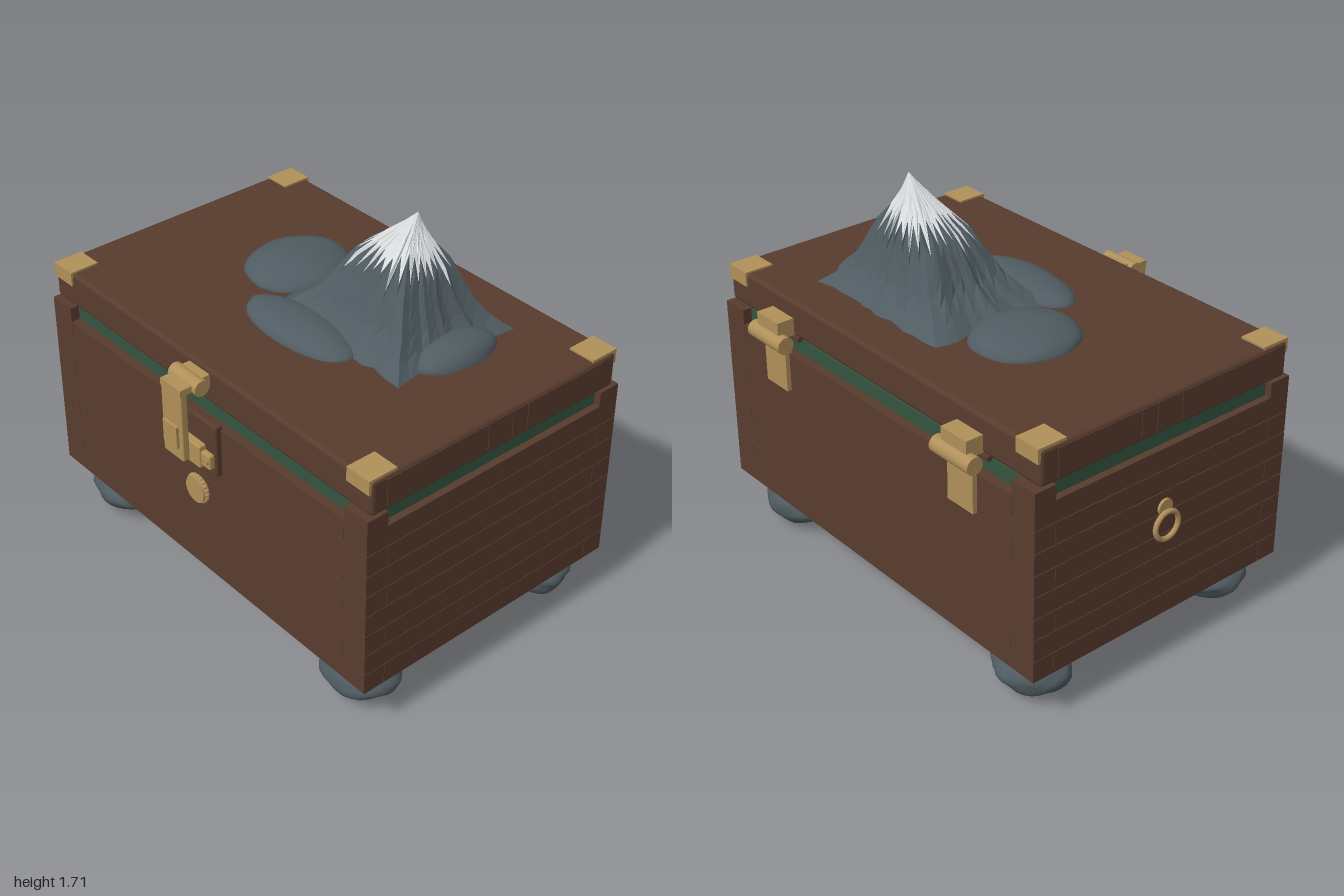
import * as THREE from 'three';
import { mergeVertices } from 'three/addons/utils/BufferGeometryUtils.js';
import { RoundedBoxGeometry } from 'three/addons/geometries/RoundedBoxGeometry.js';

const mat = (name, color, extra = {}) => Object.assign(new THREE.MeshStandardMaterial({ color, ...extra }), { name });

export function createModel() {
  const model = new THREE.Group();
  model.name = 'chest';
  const wood = mat('brown wood', 0x583c2e);
  const brass = mat('brass', 0xb0905a);
  const green = mat('green lining', 0x34543f);
  const stone = mat('grey stone', 0x505c62);
  const cliff = mat('grey cliff', 0x505c62, { flatShading: true });
  const snow = mat('snow', 0xd9dcde, { flatShading: true });

  const group = (name) => {
    const g = new THREE.Group();
    g.name = name;
    model.add(g);
    return g;
  };
  const add = (parent, name, geo, material, x = 0, y = 0, z = 0) => {
    const m = new THREE.Mesh(geo, material);
    m.name = name;
    m.position.set(x, y, z);
    parent.add(m);
    return m;
  };
  // Box given by its limits, optionally rounded
  const box = (parent, name, material, x0, x1, y0, y1, z0, z1, r = 0) => {
    const s = [x1 - x0, y1 - y0, z1 - z0];
    const geo = r ? new RoundedBoxGeometry(...s, 2, r) : new THREE.BoxGeometry(...s);
    return add(parent, name, geo, material, (x0 + x1) / 2, (y0 + y1) / 2, (z0 + z1) / 2);
  };

  // Body: eight rows of boards with alternating finger joints
  const X0 = -0.97, X1 = 0.995, Z0 = -0.68, Z1 = 0.632, TX = 0.125, TZ = 0.1;
  const body = group('body');
  box(body, 'core', wood, X0 + 0.006, X1 - 0.006, 0.225, 0.985, Z0 + 0.006, Z1 - 0.006);
  box(body, 'plinth', wood, -0.88, 0.91, 0.188, 0.23, -0.58, 0.535, 0.01);
  box(body, 'lining', green, X0 + 0.03, X1 - 0.03, 0.98, 1.048, Z0 + 0.04, Z1 - 0.04);
  const rowH = 0.096;
  for (let i = 0; i < 8; i++) {
    const y0 = 0.22 + i * rowH, y1 = y0 + rowH - 0.003;
    const long = i % 2 === 0;
    const ex = long ? 0 : TX + 0.002, ez = long ? TZ + 0.002 : 0;
    for (const [a, b] of [[Z0, Z0 + TZ], [Z1 - TZ, Z1]]) box(body, 'longBoard', wood, X0 + ex, X1 - ex, y0, y1, a, b);
    for (const [a, b] of [[X0, X0 + TX], [X1 - TX, X1]]) box(body, 'endBoard', wood, a, b, y0, y1, Z0 + ez, Z1 - ez);
  }
  for (const x of [X0, X1 - TX]) for (const z of [Z0, Z1 - TZ])
    box(body, 'cornerBlock', wood, x, x + TX, 0.985, 1.05, z, z + TZ);

  // Lid with end cleats and brass corners
  const lid = group('lid');
  const LX0 = -0.967, LX1 = 0.992, LZ0 = -0.65, LZ1 = 0.61;
  box(lid, 'lidPanel', wood, LX0, LX1, 1.055, 1.21, LZ0, LZ1, 0.018);
  const cleats = [-0.575, -0.168, -0.088, 0.038, 0.538];
  for (let i = 0; i < 4; i++) for (const x of [LX0, LX1])
    box(lid, 'lidCleat', wood, x - 0.003, x + 0.003, 1.075, 1.195, cleats[i] + 0.003, cleats[i + 1]);
  for (const x of [-0.96, 0.865]) for (const s of [-1, 1]) {
    const edge = s > 0 ? LZ1 : LZ0, inner = edge - s * 0.125, outer = edge + s * 0.007;
    box(lid, 'cornerTop', brass, x, x + 0.12, 1.2, 1.218, Math.min(inner, outer), Math.max(inner, outer));
    box(lid, 'cornerFlap', brass, x, x + 0.12, 1.155, 1.215, edge - 0.008, edge + 0.008);
  }

  // Front latch
  const cyl = (r, len, n = 20) => new THREE.CylinderGeometry(r, r, len, n);
  const latch = group('latch');
  box(latch, 'latchBacking', wood, -0.135, 0.16, 0.765, 1.005, 0.62, 0.658, 0.01);
  box(latch, 'keeperBar', brass, -0.122, 0.147, 0.805, 0.872, 0.65, 0.682, 0.008);
  box(latch, 'keeper', brass, -0.07, 0.095, 0.79, 0.895, 0.65, 0.69, 0.008);
  for (const x of [-0.1, 0.125]) add(latch, 'screw', cyl(0.016, 0.01, 12), brass, x, 0.84, 0.684).rotation.x = Math.PI / 2;
  box(latch, 'latchMount', brass, -0.05, 0.075, 1.13, 1.19, 0.6, 0.66);
  add(latch, 'latchPin', cyl(0.035, 0.17), brass, 0.012, 1.16, 0.664).rotation.z = Math.PI / 2;
  box(latch, 'latchLink', brass, -0.05, 0.075, 1.145, 1.175, 0.664, 0.752);
  box(latch, 'latchArm', brass, -0.05, 0.075, 0.84, 1.17, 0.718, 0.752, 0.008);
  box(latch, 'latchButton', brass, -0.03, 0.055, 0.9, 1.0, 0.745, 0.765);

  // Scalloped medallion
  const medal = group('medallion');
  medal.position.set(0.012, 0.625, 0);
  add(medal, 'medallionDisc', cyl(0.058, 0.035, 28), brass, 0, 0, 0.643).rotation.x = Math.PI / 2;
  for (let i = 0; i < 20; i++) {
    const a = i / 20 * Math.PI * 2;
    add(medal, 'medallionBead', new THREE.SphereGeometry(0.011, 8, 6), brass, 0.057 * Math.cos(a), 0.057 * Math.sin(a), 0.643);
  }

  // Ring pull on one end
  const pull = group('ringPull');
  add(pull, 'pullPlate', cyl(0.036, 0.014), brass, -0.974, 0.725, -0.03).rotation.z = Math.PI / 2;
  add(pull, 'pullRing', new THREE.TorusGeometry(0.06, 0.011, 8, 28), brass, -0.989, 0.65, -0.03).rotation.y = Math.PI / 2;

  // Rear hinges
  for (const x of [-0.58, 0.61]) {
    const hinge = group('hinge');
    add(hinge, 'hingeKnuckle', cyl(0.037, 0.22), brass, x, 1.045, -0.718).rotation.z = Math.PI / 2;
    box(hinge, 'hingeUpperLeaf', brass, x - 0.073, x + 0.073, 1.06, 1.135, -0.728, -0.64);
    box(hinge, 'hingeLowerLeaf', brass, x - 0.073, x + 0.073, 0.815, 1.03, -0.7, -0.67);
    box(hinge, 'hingeSpacer', wood, x - 0.11, x + 0.11, 1.04, 1.06, -0.66, -0.6);
  }

  // Lumpy stones from a displaced ball
  const rock = (name, x, y, z, rx, ry, rz, lump, seed) => {
    let geo = new THREE.IcosahedronGeometry(1, 5);
    geo.deleteAttribute('uv');
    geo.deleteAttribute('normal');
    geo = mergeVertices(geo, 1e-4);
    const p = geo.attributes.position, v = new THREE.Vector3();
    for (let i = 0; i < p.count; i++) {
      v.fromBufferAttribute(p, i);
      const n = Math.sin(v.x * 5 + seed) * Math.sin(v.y * 6 + seed * 2) + 0.7 * Math.sin(v.z * 7 + v.x * 4 + seed * 3)
        + 0.5 * Math.sin(v.y * 9 - v.z * 8 + seed);
      v.multiplyScalar(1 + lump * n);
      p.setXYZ(i, v.x * rx, v.y * ry, v.z * rz);
    }
    geo.computeVertexNormals();
    add(model, name, geo, stone, x, y, z);
  };
  let seed = 1;
  for (const x of [-0.757, 0.785]) for (const z of [-0.5, 0.46])
    rock('stoneFoot', x, 0.105, z, 0.172, 0.1, 0.148, 0.04, seed++);
  rock('lidBoulder', -0.295, 1.205, -0.14, 0.205, 0.08, 0.232, 0.015, 2);
  rock('lidBoulder', 0.075, 1.205, 0.165, 0.295, 0.065, 0.13, 0.015, 4);
  rock('lidBoulder', 0.595, 1.205, -0.175, 0.108, 0.08, 0.2, 0.015, 6);

  // Mountain: square base drawn in to an off-centre peak; rows are [drop, width, centre x, centre z]
  const rows = [[0, 0, 0.34, -0.2], [0.2, 0.18, 0.305, -0.19], [0.41, 0.46, 0.275, -0.18], [0.6, 0.57, 0.267, -0.17],
    [0.8, 0.7, 0.262, -0.165], [0.92, 0.86, 0.24, -0.16], [1, 1, 0.235, -0.16]];
  const N = 56;
  const rand = (i) => { const s = Math.sin(i * 12.9898) * 43758.5453; return s - Math.floor(s); };
  const point = (i, t) => {
    i %= N;
    const a = (i / N) * Math.PI * 2, c = Math.cos(a), s = Math.sin(a);
    let k = 1;
    while (k < rows.length - 1 && t > rows[k][0]) k++;
    const f = (t - rows[k - 1][0]) / (rows[k][0] - rows[k - 1][0]);
    const [, w, cx, cz] = rows[k].map((b, j) => THREE.MathUtils.lerp(rows[k - 1][j], b, f));
    const square = 1 / Math.max(Math.abs(c), Math.abs(s));
    const r = w * THREE.MathUtils.lerp(1, square, Math.min(1, 0.3 + t * 0.7)) * (0.95 + 0.09 * rand(i + 3));
    return [cx + r * c * 0.385, 1.71 - 0.505 * t, cz + r * s * 0.305];
  };
  const snowLine = (i) => (i % 2 ? 0.25 + 0.08 * rand(i % N) : 0.42 + 0.15 * rand(i % N + 70));
  const skin = (name, material, steps, drop) => {
    const pos = [];
    for (let i = 0; i < N; i++) for (let k = 0; k < steps; k++) {
      const a = point(i, drop(i, k / steps)), b = point(i + 1, drop(i + 1, k / steps));
      const c = point(i, drop(i, (k + 1) / steps)), d = point(i + 1, drop(i + 1, (k + 1) / steps));
      pos.push(...a, ...d, ...c, ...a, ...b, ...d);
    }
    const geo = new THREE.BufferGeometry();
    geo.setAttribute('position', new THREE.Float32BufferAttribute(pos, 3));
    geo.computeVertexNormals();
    add(model, name, geo, material);
  };
  skin('snowCap', snow, 4, (i, f) => snowLine(i) * f);
  skin('mountain', cliff, 6, (i, f) => THREE.MathUtils.lerp(snowLine(i), 1, f));
  return model;
}
